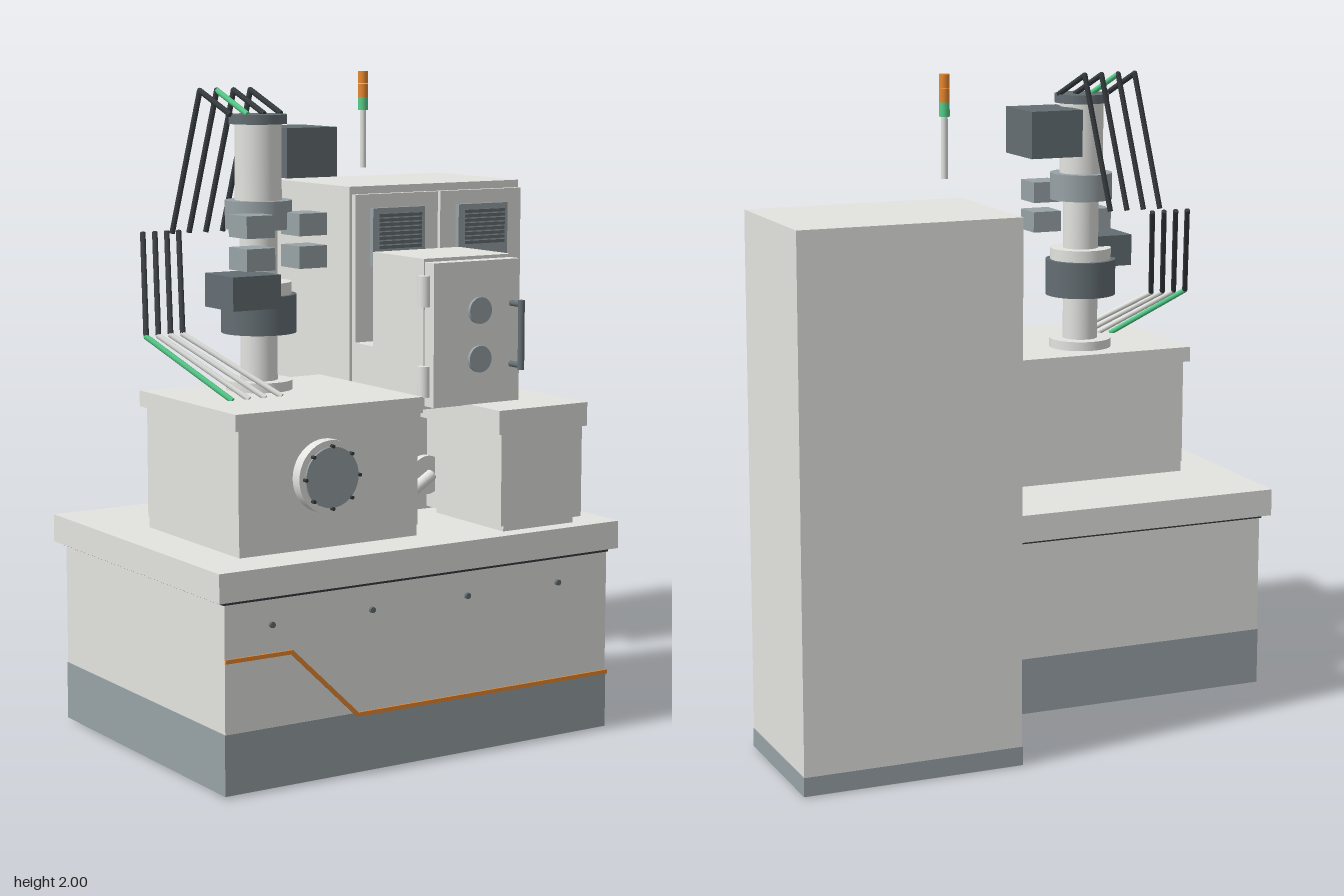
import * as THREE from 'three';

const mat = (name, color) => {
  const m = new THREE.MeshStandardMaterial({ color });
  m.name = name;
  return m;
};

export function createModel() {
  const root = new THREE.Group();
  root.name = 'processingMachine';
  const light = mat('light grey paint', 0xe3e3e0);
  const mid = mat('blue grey paint', 0x98a2a6);
  const slate = mat('dark slate', 0x646e73);
  const black = mat('black rubber', 0x373c3f);
  const orange = mat('orange', 0xe8892f);
  const green = mat('green', 0x57cf8c);

  const add = (parent, name, geo, m) => {
    const mesh = new THREE.Mesh(geo, m);
    mesh.name = name;
    parent.add(mesh);
    return mesh;
  };
  // assemblies share one small offset that centres the footprint
  const group = (name) => {
    const g = new THREE.Group();
    g.name = name;
    g.position.set(0.003, 0, 0.003);
    root.add(g);
    return g;
  };
  // box given by its extents on each axis
  const box = (p, name, m, x0, x1, y0, y1, z0, z1) => {
    const b = add(p, name, new THREE.BoxGeometry(x1 - x0, y1 - y0, z1 - z0), m);
    b.position.set((x0 + x1) / 2, (y0 + y1) / 2, (z0 + z1) / 2);
    return b;
  };
  // round bar between two points
  const rod = (p, name, m, a, b, r, sides = 32) => {
    const A = new THREE.Vector3(...a), B = new THREE.Vector3(...b);
    const d = B.clone().sub(A);
    const c = add(p, name, new THREE.CylinderGeometry(r, r, d.length(), sides), m);
    c.position.copy(A).add(B).multiplyScalar(0.5);
    c.quaternion.setFromUnitVectors(new THREE.Vector3(0, 1, 0), d.normalize());
    return c;
  };

  // Machine base
  const base = group('base');
  box(base, 'underside', slate, -0.81, 0.495, 0, 0.01, -0.275, 0.66);
  box(base, 'plinth', mid, -0.834, 0.517, 0.007, 0.185, -0.297, 0.682);
  box(base, 'body', light, -0.832, 0.515, 0.185, 0.558, -0.295, 0.68);
  box(base, 'seal', black, -0.837, 0.52, 0.556, 0.567, -0.3, 0.683);
  box(base, 'tableTop', light, -0.86, 0.543, 0.567, 0.652, -0.322, 0.701);
  for (const x of [-0.68, -0.343, -0.007, 0.327])
    rod(base, 'bolt', slate, [x, 0.483, 0.675], [x, 0.483, 0.69], 0.009, 12);

  // Stripe that steps down across the front and runs along the side
  const path = [[-0.832, 0.395], [-0.612, 0.395], [-0.39, 0.18], [0.52, 0.18]];
  const stripe = new THREE.Shape();
  path.forEach(([x, y], i) => (i ? stripe.lineTo(x, y + 0.006) : stripe.moveTo(x, y + 0.006)));
  [...path].reverse().forEach(([x, y]) => stripe.lineTo(x - (x < -0.3 && x > -0.7 ? 0.005 : 0), y - 0.006));
  add(base, 'frontStripe', new THREE.ExtrudeGeometry(stripe, { depth: 0.008, bevelEnabled: false }), orange)
    .position.z = 0.678;
  box(base, 'sideStripe', orange, 0.514, 0.52, 0.174, 0.186, -0.29, 0.686);

  // Electrical cabinet
  const cab = group('cabinet');
  box(cab, 'cabinetFloor', light, 0.175, 0.85, 0.001, 0.01, -0.702, -0.242);
  box(cab, 'cabinetPlinth', mid, 0.172, 0.853, 0.003, 0.06, -0.705, -0.238);
  box(cab, 'cabinetBody', light, 0.175, 0.851, 0.06, 1.63, -0.703, -0.242);
  for (const [x0, x1, v0, v1] of [[0.185, 0.507, 0.241, 0.444], [0.517, 0.845, 0.579, 0.778]]) {
    box(cab, 'door', light, x0, x1, 0.06, 1.605, -0.243, -0.22);
    box(cab, 'ventFrame', mid, v0, v1, 1.37, 1.56, -0.222, -0.202);
    for (let i = 0; i < 8; i++) {
      const y = 1.428 + i * 0.0147;
      box(cab, 'ventSlat', slate, v0 + 0.018, v1 - 0.018, y, y + 0.0105, -0.203, -0.192);
    }
  }
  for (const x of [0.477, 0.603])
    box(cab, 'doorHandle', slate, x - 0.012, x + 0.012, 0.755, 0.9, -0.222, -0.184);

  // Operator panel
  const panel = group('operatorPanel');
  box(panel, 'panelBracket', light, 0.42, 0.52, 1.085, 1.32, -0.222, -0.147);
  box(panel, 'panelHousing', light, 0.315, 0.607, 1.16, 1.4, -0.184, -0.114);
  box(panel, 'screen', black, 0.337, 0.584, 1.19, 1.37, -0.115, -0.107);
  for (let i = 0; i < 12; i++) {
    const x = 0.381 + (i % 4) * 0.0555, y = 1.33 - Math.floor(i / 4) * 0.048;
    box(panel, 'button', i % 3 === 1 ? orange : green, x - 0.019, x + 0.019, y - 0.012, y + 0.012, -0.108, -0.102);
  }
  rod(panel, 'stopButton', orange, [0.478, 1.096, -0.148], [0.478, 1.096, -0.114], 0.021, 24);

  // Signal tower
  const tower = group('signalTower');
  [[1.69, 1.875, 0.01, light], [1.875, 1.917, 0.016, green], [1.917, 1.958, 0.016, orange],
    [1.96, 2, 0.016, orange]].forEach(([y0, y1, r, m]) =>
    rod(tower, 'towerSegment', m, [0.231, y0, -0.248], [0.231, y1, -0.248], r, 20));

  // Gearbox with round inspection port
  const gear = group('gearbox');
  box(gear, 'gearboxFoot', light, -0.708, -0.1, 0.65, 0.685, 0.018, 0.552);
  box(gear, 'gearboxBody', light, -0.711, -0.099, 0.685, 1.02, 0.016, 0.555);
  box(gear, 'gearboxLid', light, -0.727, -0.09, 1.02, 1.068, 0, 0.568);
  const px = -0.424, py = 0.865;
  rod(gear, 'portFlange', light, [px, py, 0.55], [px, py, 0.592], 0.108, 40);
  rod(gear, 'portGlass', mid, [px, py, 0.59], [px, py, 0.599], 0.089, 40);
  for (let i = 0; i < 8; i++) {
    const a = (i * Math.PI) / 4, x = px + 0.091 * Math.cos(a), y = py + 0.091 * Math.sin(a);
    rod(gear, 'portBolt', black, [x, y, 0.59], [x, y, 0.606], 0.0055, 10);
  }

  // Spindle column stacked from turned sections
  const col = group('spindleColumn');
  const cx = -0.407, cz = 0.161;
  [['foot', 1.065, 1.097, 0.1, light], ['lowerShaft', 1.097, 1.24, 0.056, light],
    ['motorCollar', 1.24, 1.355, 0.113, slate], ['ring', 1.355, 1.392, 0.098, light],
    ['middleShaft', 1.392, 1.55, 0.057, light], ['upperCollar', 1.55, 1.635, 0.1, mid],
    ['upperShaft', 1.635, 1.86, 0.07, light], ['cap', 1.86, 1.888, 0.087, slate]].forEach(
    ([name, y0, y1, r, m]) => rod(col, name, m, [cx, y0, cz], [cx, y1, cz], r, 40));
  box(col, 'upperMotor', slate, -0.352, -0.177, 1.7, 1.848, 0.033, 0.236);
  box(col, 'lowerMotor', slate, -0.582, -0.42, 1.325, 1.425, 0.145, 0.31);
  for (const x of [-0.493, -0.314])
    for (const y of [1.568, 1.472])
      box(col, 'valveBlock', mid, x - 0.048, x + 0.048, y - 0.033, y + 0.033, 0.216, 0.32);

  // Two banks of bent hoses
  const hoses = group('hoses');
  for (let i = 0; i < 4; i++) {
    const u = i * 0.058, v = i * 0.041;
    const peak = [-0.535 + u, 1.956, 0.04];
    rod(hoses, 'upperHose', i === 1 ? green : black, [-0.499 + u, 1.888, 0.158], peak, 0.0085, 10);
    rod(hoses, 'upperHose', black, peak, [-0.598 + u, 1.53, -0.024], 0.0085, 10);
    const bend = [-0.75 + v, 1.24, 0.088];
    rod(hoses, 'lowerHose', black, bend, [-0.662 + v, 1.53, -0.09], 0.0085, 10);
    rod(hoses, 'lowerHose', i ? light : green, bend, [-0.6 + i * 0.056, 1.068, 0.333], 0.0085, 10);
    for (const [p, m] of [[peak, black], [bend, i ? light : green]])
      add(hoses, 'hoseElbow', new THREE.SphereGeometry(0.0085, 10, 8), m).position.set(...p);
  }

  // Control box on its pedestal
  const ctl = group('controlBox');
  box(ctl, 'pedestal', light, 0.012, 0.228, 0.65, 1.165, 0.041, 0.22);
  box(ctl, 'controlBody', light, -0.032, 0.287, 1.015, 1.465, 0.213, 0.485);
  box(ctl, 'controlDoor', light, -0.028, 0.285, 1.025, 1.455, 0.485, 0.533);
  for (const y of [1.37, 1.1])
    rod(ctl, 'hinge', light, [-0.035, y - 0.046, 0.493], [-0.035, y + 0.046, 0.493], 0.02, 20);
  for (const y of [1.307, 1.161])
    rod(ctl, 'dial', mid, [0.135, y, 0.528], [0.135, y, 0.544], 0.04, 32);
  rod(ctl, 'handleBar', slate, [0.254, 1.125, 0.585], [0.254, 1.335, 0.585], 0.01, 16);
  for (const y of [1.138, 1.322])
    rod(ctl, 'handlePost', slate, [0.254, y, 0.528], [0.254, y, 0.585], 0.009, 16);

  // Drain pipe under the control box
  rod(ctl, 'drainPipe', light, [-0.01, 1.02, 0.338], [0.023, 0.735, 0.338], 0.018, 20);
  rod(ctl, 'drainPipe', light, [0.023, 0.735, 0.338], [0.11, 0.78, 0.325], 0.018, 20);
  add(ctl, 'drainElbow', new THREE.SphereGeometry(0.018, 20, 12), light).position.set(0.023, 0.735, 0.338);
  rod(ctl, 'drainFlange', light, [0.103, 0.778, 0.29], [0.103, 0.778, 0.315], 0.06, 32);

  // Small tank at the front
  const tank = group('frontTank');
  box(tank, 'tankFoot', light, 0.15, 0.41, 0.65, 0.675, 0.295, 0.645);
  box(tank, 'tankBody', light, 0.13, 0.43, 0.672, 0.95, 0.27, 0.66);
  box(tank, 'tankLid', light, 0.116, 0.443, 0.95, 1.022, 0.254, 0.668);

  return root;
}
